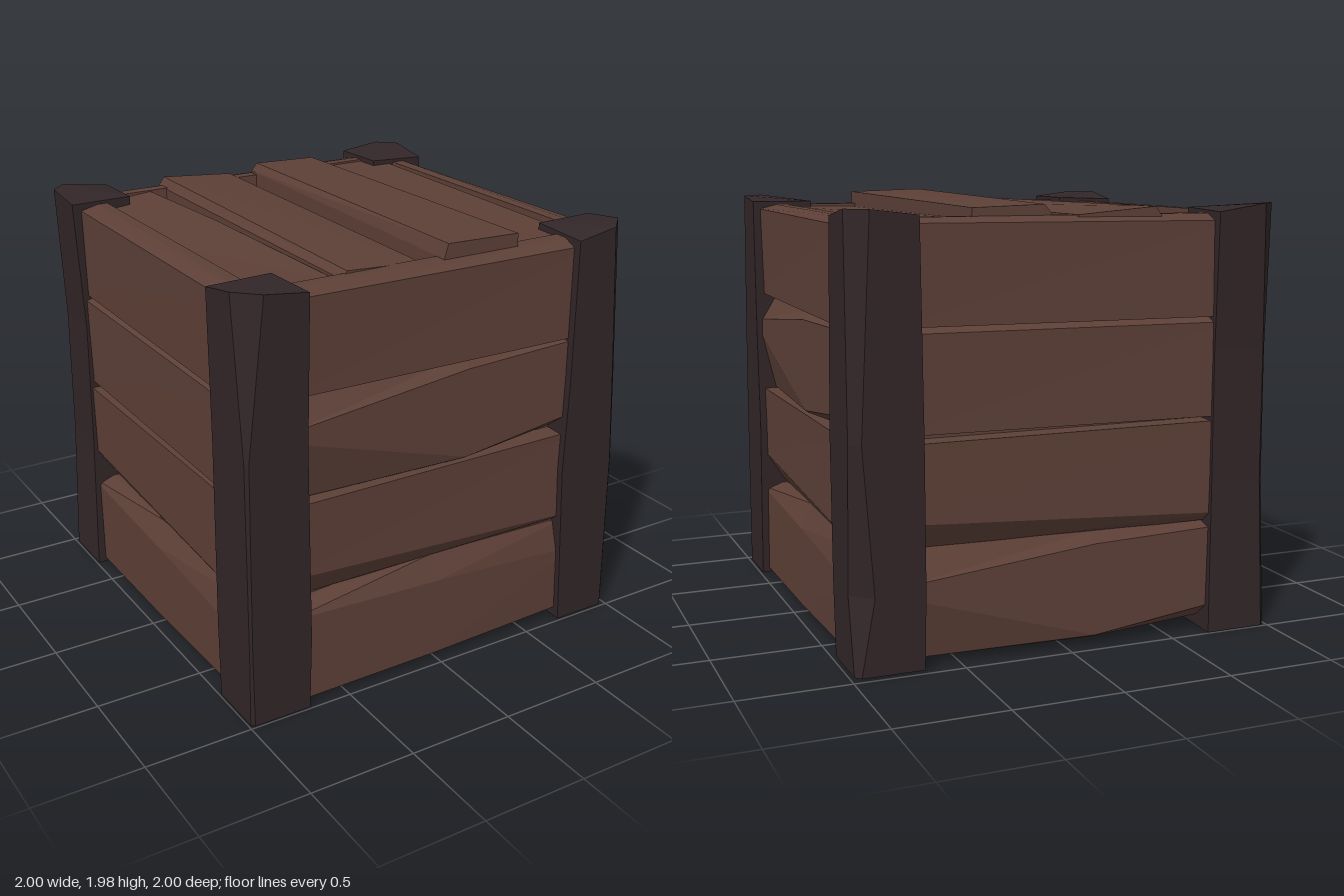
import * as THREE from 'three';

const plankMat = new THREE.MeshStandardMaterial({ color: 0x5d4037 });
plankMat.name = 'brown plank';
const postMat = new THREE.MeshStandardMaterial({ color: 0x322628 });
postMat.name = 'dark post';

// Closed faceted solid through rings of equal point count
function loft(rings) {
  const tris = [], n = rings[0].length;
  for (let r = 0; r + 1 < rings.length; r++) {
    for (let i = 0; i < n; i++) {
      const j = (i + 1) % n, a = rings[r], b = rings[r + 1];
      tris.push([a[i], a[j], b[j]], [a[i], b[j], b[i]]);
    }
  }
  const first = rings[0], last = rings[rings.length - 1];
  for (let i = 1; i + 1 < n; i++) {
    tris.push([first[0], first[i + 1], first[i]], [last[0], last[i], last[i + 1]]);
  }
  // Turn the faces outward
  const c = new THREE.Vector3();
  let volume = 0;
  for (const [a, b, d] of tris) volume += a.dot(c.crossVectors(b, d));
  if (volume < 0) tris.forEach((t) => t.reverse());
  const g = new THREE.BufferGeometry().setFromPoints(tris.flat());
  g.computeVertexNormals();
  return g;
}

const V = (x, y, z) => new THREE.Vector3(x, y, z);

function mesh(name, geometry, material) {
  const m = new THREE.Mesh(geometry, material);
  m.name = name;
  return m;
}

// Wall boards: [x, then outer profile points as height, depth]
const IN = 0.82;
const wallBoards = {
  ledge: [
    [-0.8, [0.02, 0.95], [0.44, 0.95], [0.47, 0.87]],
    [0, [0.03, 0.955], [0.41, 0.955], [0.525, 0.9]],
    [0.8, [0.05, 0.95], [0.36, 0.955], [0.515, 0.92]],
  ],
  undercut: [
    [-0.8, [0.5, 0.86], [0.64, 0.95], [0.98, 0.955]],
    [0.8, [0.51, 0.9], [0.55, 0.95], [0.98, 0.95]],
  ],
  chipped: [
    [-0.78, [0.985, 0.89], [1.28, 0.96], [1.325, 0.96], [1.47, 0.87]],
    [0.13, [0.99, 0.94], [1.0, 0.955], [1.42, 0.955], [1.465, 0.9]],
    [0.78, [1.0, 0.85], [1.08, 0.95], [1.44, 0.95], [1.455, 0.88]],
  ],
  flat: [
    [-0.8, [1.465, 0.945], [1.89, 0.955], [1.91, 0.87]],
    [0.8, [1.45, 0.95], [1.875, 0.95], [1.905, 0.88]],
  ],
};

function wallBoard(kind, dy) {
  return loft(wallBoards[kind].map(([x, ...pts]) => [
    V(x, pts[0][0] + dy, IN),
    ...pts.map(([y, d]) => V(x, y + dy, d)),
    V(x, pts[pts.length - 1][0] + dy, IN),
  ]));
}

function wall(name, angle, rows) {
  const g = new THREE.Group();
  g.name = name;
  rows.forEach(([kind, dy], i) => g.add(mesh(`${name}Board${i + 1}`, wallBoard(kind, dy), plankMat)));
  g.rotation.y = angle;
  return g;
}

// Deck boards: [z, then top profile points as x, height]
const deckBoards = [
  [
    [-0.87, [-0.88, 1.87], [-0.54, 1.9], [-0.47, 1.84]],
    [-0.2, [-0.88, 1.87], [-0.5, 1.9], [-0.45, 1.85]],
    [0.87, [-0.88, 1.88], [-0.47, 1.89], [-0.45, 1.88]],
  ],
  [
    [-0.91, [-0.45, 1.9], [-0.42, 1.94], [-0.05, 1.91]],
    [0.83, [-0.45, 1.89], [-0.42, 1.92], [-0.06, 1.9]],
  ],
  [
    [-0.87, [0.06, 1.92], [0.09, 1.955], [0.42, 1.945]],
    [0.88, [0.03, 1.91], [0.05, 1.975], [0.42, 1.965]],
  ],
  [
    [-0.87, [0.44, 1.9], [0.8, 1.9], [0.84, 1.85]],
    [0.83, [0.43, 1.89], [0.78, 1.895], [0.82, 1.86]],
  ],
];

function deck(name) {
  const g = new THREE.Group();
  g.name = name;
  deckBoards.forEach((sections, i) => {
    const rings = sections.map(([z, ...p]) => [
      V(p[0][0], 1.8, z), ...p.map(([x, y]) => V(x, y, z)), V(p[2][0], 1.8, z),
    ]);
    g.add(mesh(`${name}Board${i + 1}`, loft(rings), plankMat));
  });
  return g;
}

// Hewn corner post: [height, inner edge, outer edge, start of the corner chamfer]
function post(name, angle, sections) {
  const rings = sections.map(([y, a, b, c], i) => {
    const k = i === sections.length - 1 ? 1 : 0; // slightly peaked top
    return [
      V(a, y, a), V(b, y, a - 0.01), V(b, y + 0.025 * k, c),
      V(c, y + 0.025 * k, b), V(a - 0.01, y - 0.01 * k, b),
    ];
  });
  const m = mesh(name, loft(rings), postMat);
  m.rotation.y = angle;
  return m;
}

export function createModel() {
  const crate = new THREE.Group();
  crate.name = 'crate';
  const q = Math.PI / 2;

  // Dark gaps between boards close onto this inner box
  const core = mesh('innerBox', new THREE.BoxGeometry(1.7, 1.72, 1.7), plankMat);
  core.position.y = 0.97;
  crate.add(core);

  // Four walls of four boards
  const rough = [['ledge', 0], ['undercut', 0], ['chipped', 0], ['flat', 0]];
  crate.add(
    wall('frontWall', 0, rough),
    wall('leftWall', q, rough),
    wall('backWall', 2 * q, [['chipped', -0.95], ['undercut', 0], ['flat', -0.45], ['flat', 0]]),
    wall('rightWall', -q, [['ledge', 0], ['undercut', 0], ['flat', -0.45], ['flat', 0]]),
  );

  // Lid and floor
  const floor = deck('floor');
  floor.rotation.z = Math.PI;
  floor.position.y = 2;
  crate.add(deck('lid'), floor);

  // Corner posts, each worn differently
  crate.add(
    post('frontLeftPost', 0, [[0, 0.715, 0.985, 0.97], [0.8, 0.68, 0.985, 0.96], [1.25, 0.69, 0.988, 0.93], [1.925, 0.69, 0.99, 0.88]]),
    post('backLeftPost', q, [[0.01, 0.69, 0.985, 0.96], [0.35, 0.685, 0.99, 0.9], [1.0, 0.69, 0.995, 0.95], [1.925, 0.7, 0.985, 0.9]]),
    post('backRightPost', 2 * q, [[0, 0.7, 0.99, 0.97], [0.7, 0.71, 0.97, 0.95], [1.3, 0.71, 0.965, 0.95], [1.925, 0.7, 1, 0.92]]),
    post('frontRightPost', -q, [[0, 0.71, 0.99, 0.975], [0.35, 0.7, 0.99, 0.98], [1.25, 0.715, 0.995, 0.98], [1.925, 0.705, 0.998, 0.9]]),
  );
  return crate;
}
